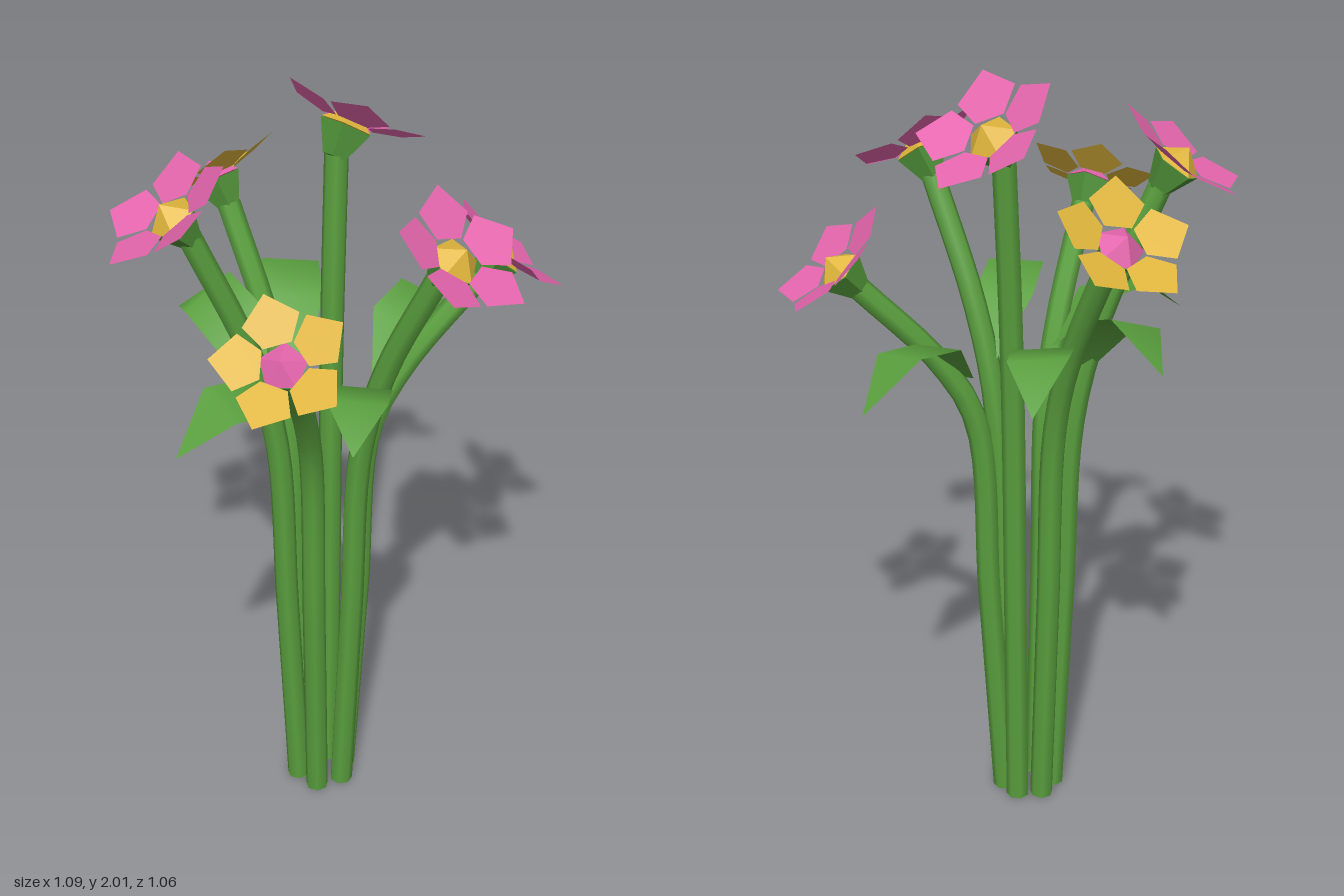
import * as THREE from 'three';

const material = (name, color, extra = {}) => {
  const m = new THREE.MeshStandardMaterial({ color, ...extra });
  m.name = name;
  return m;
};

export function createModel() {
  const green = material('leaf green', 0x5a9f3e, { side: THREE.DoubleSide });
  const pink = material('petal pink', 0xe666ae, { side: THREE.DoubleSide, flatShading: true });
  const yellow = material('petal yellow', 0xdfb53c, { side: THREE.DoubleSide, flatShading: true });
  const calyxGreen = material('calyx green', 0x4f9038, { flatShading: true });

  const bouquet = new THREE.Group();
  bouquet.name = 'bouquet';
  const V = (x, y, z) => new THREE.Vector3(x, y, z);
  const add = (parent, name, geometry, mat) => {
    const mesh = new THREE.Mesh(geometry, mat);
    mesh.name = name;
    parent.add(mesh);
    return mesh;
  };

  // Five-cornered petal pointing along +x, cupped upward (+y)
  const cup = 0.28;
  const petalGeometry = new THREE.BufferGeometry();
  const outline = [[0.055, -0.037], [0.055, 0.037], [0.118, 0.074], [0.182, 0], [0.118, -0.074]];
  petalGeometry.setAttribute('position', new THREE.Float32BufferAttribute(
    outline.flatMap(([r, w]) => [r, r * cup - 0.015, w]), 3));
  petalGeometry.setIndex([0, 1, 2, 0, 2, 3, 0, 3, 4]);
  petalGeometry.computeVertexNormals();

  // Low faceted centre, and the calyx under it
  const centreGeometry = new THREE.ConeGeometry(0.065, 0.05, 5);
  centreGeometry.translate(0, 0.015, 0);
  const calyxGeometry = new THREE.CylinderGeometry(0.066, 0.03, 0.075, 5);
  calyxGeometry.translate(0, -0.0495, 0);

  // Head on its stem: centre, facing direction, direction (x, z) of one petal
  function flower(center, facing, [tipX, tipZ], size, petalMat, centreMat) {
    const group = new THREE.Group();
    group.name = 'flower';
    bouquet.add(group);
    const n = facing.normalize();
    const u = V(tipX, -(tipX * n.x + tipZ * n.z) / n.y, tipZ).normalize();
    const w = u.clone().cross(n);

    const head = new THREE.Group();
    head.name = 'flowerHead';
    head.quaternion.setFromRotationMatrix(new THREE.Matrix4().makeBasis(u, n, w));
    head.position.copy(center);
    head.scale.setScalar(size);
    group.add(head);
    add(head, 'flowerCentre', centreGeometry, centreMat);
    add(head, 'calyx', calyxGeometry, calyxGreen);
    for (let i = 0; i < 5; i++) {
      add(head, 'petal', petalGeometry, petalMat).rotation.y = (i * Math.PI * 2) / 5;
    }

    // Stem rises nearly straight, then bends out to the calyx
    const end = center.clone().addScaledVector(n, -0.075);
    const reach = Math.hypot(end.x, end.z);
    const dx = end.x / reach, dz = end.z / reach;
    const bend = Math.min(0.06 + 0.17 * reach, 0.75 * reach);
    const at = (r, y) => V(dx * r, y, dz * r);
    const base = at(0.064, 0);
    const path = new THREE.CatmullRomCurve3([
      base,
      at(0.064 + (bend - 0.064) * 0.55, 0.6),
      at(bend, 1.09),
      at(bend + (reach - bend) * 0.32, 1.09 + (end.y - 1.09) * 0.45),
      end,
    ], false, 'centripetal');
    add(group, 'stem', new THREE.TubeGeometry(path, 24, 0.03, 7), green);
    const cap = add(group, 'stemEnd', new THREE.CircleGeometry(0.03, 7).rotateX(Math.PI / 2), green);
    cap.position.copy(base);
  }

  flower(V(-0.28, 1.76, -0.225), V(-0.46, 0.81, -0.36), [0.01, -0.19], 0.99, pink, yellow);
  flower(V(0.06, 1.68, -0.375), V(0.08, 0.79, -0.6), [-0.03, -0.155], 0.94, yellow, pink);
  flower(V(0.163, 1.88, -0.045), V(0.6, 0.8, 0.02), [0.175, -0.02], 1.01, pink, yellow);
  flower(V(0.39, 1.53, 0.25), V(0.56, 0.74, 0.36), [0.15, -0.06], 0.94, pink, yellow);
  flower(V(0.025, 1.715, 0.37), V(0.04, 0.8, 0.6), [0.045, 0.16], 0.98, pink, yellow);
  flower(V(-0.4, 1.575, 0.2), V(-0.6, 0.74, 0.3), [-0.145, 0.02], 0.9, yellow, pink);

  // Arched leaf: base and tip in (x, z), heights at four stations, sideways roll
  function leaf([bx, bz], [tx, tz], heights, roll) {
    const length = Math.hypot(tx - bx, tz - bz);
    const sx = -(tz - bz) / length, sz = (tx - bx) / length;
    const stations = [0, 0.3, 0.66, 1];
    const halfWidths = [0.012, 0.076, 0.072, 0.001];
    const positions = [], index = [];
    stations.forEach((t, i) => {
      const x = bx + (tx - bx) * t, z = bz + (tz - bz) * t, y = heights[i];
      const h = halfWidths[i], lift = h * roll;
      positions.push(x - sx * h, y - lift, z - sz * h, x + sx * h, y + lift, z + sz * h);
      if (i < 3) {
        const a = i * 2;
        index.push(a, a + 1, a + 2, a + 1, a + 3, a + 2);
      }
    });
    const geometry = new THREE.BufferGeometry();
    geometry.setAttribute('position', new THREE.Float32BufferAttribute(positions, 3));
    geometry.setIndex(index);
    geometry.computeVertexNormals();
    add(bouquet, 'leaf', geometry, green);
  }

  leaf([-0.1, -0.09], [-0.04, -0.42], [1.22, 1.38, 1.43, 1.34], 0.4);
  leaf([0.04, -0.11], [0.31, -0.35], [1.24, 1.38, 1.41, 1.32], -0.1);
  leaf([0.13, 0.07], [0.495, 0.035], [1.22, 1.34, 1.36, 1.25], -0.2);
  leaf([-0.14, 0.06], [-0.485, -0.05], [1.23, 1.35, 1.37, 1.27], 0.15);
  leaf([0.01, 0.12], [-0.29, 0.315], [1.22, 1.35, 1.39, 1.32], 0.05);

  return bouquet;
}
